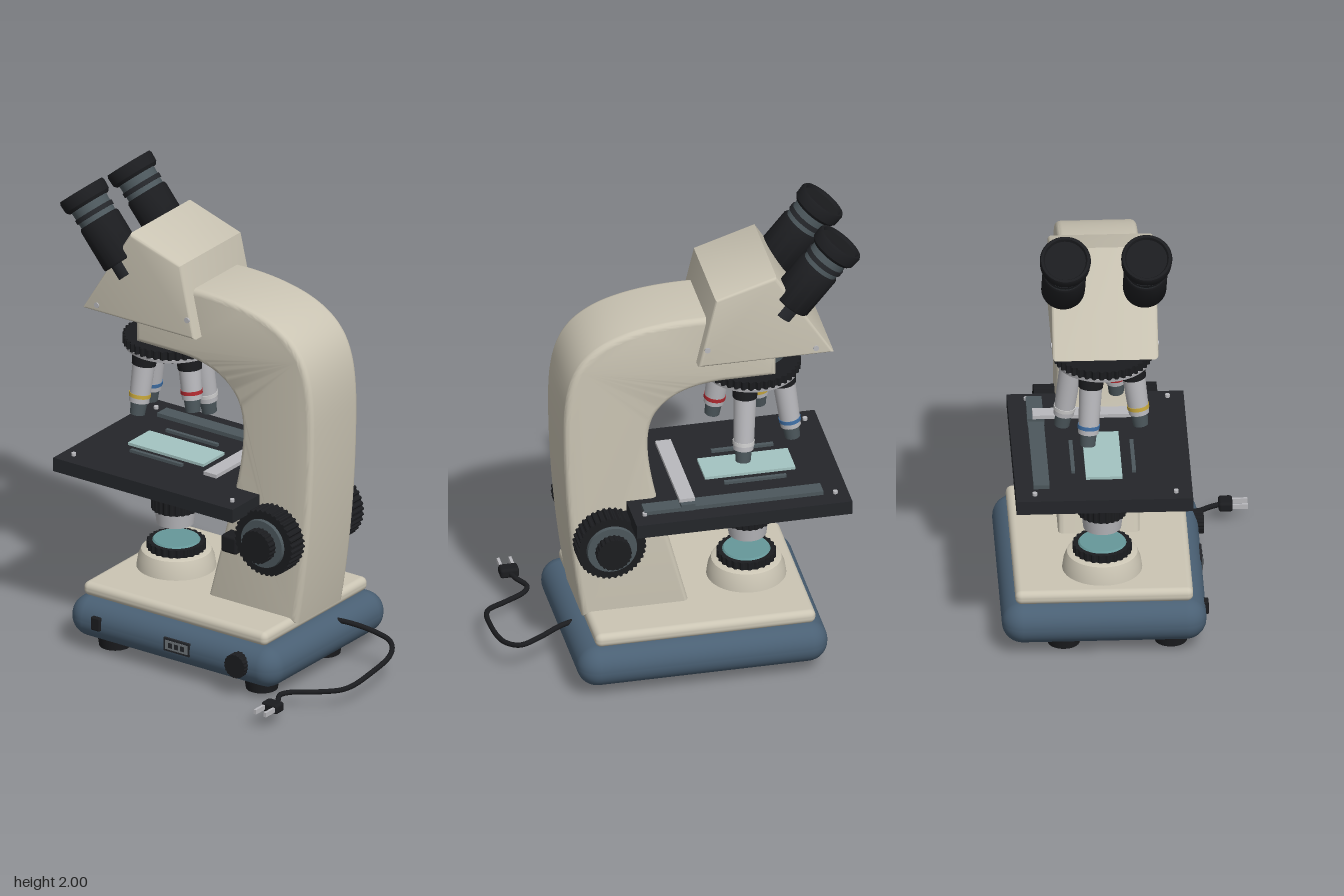
import * as THREE from 'three';
import { toCreasedNormals } from 'three/addons/utils/BufferGeometryUtils.js';
import { RoundedBoxGeometry } from 'three/addons/geometries/RoundedBoxGeometry.js';

const CREAM = 0xcbc5b4, BLUE = 0x4a6074, BLACK = 0x1b1c1f, DARK = 0x24262a;
const SLATE = 0x4c575c, SILVER = 0xb9b9bd, GLASS = 0xa4c4c2, TEAL = 0x66989a;

const materials = {};
const mat = (color) => (materials[color] ??= new THREE.MeshStandardMaterial({ color }));

function add(parent, name, geo, color, x = 0, y = 0, z = 0) {
  const mesh = new THREE.Mesh(geo, mat(color));
  mesh.name = name;
  mesh.position.set(x, y, z);
  parent.add(mesh);
  return mesh;
}

const box = (w, h, d) => new THREE.BoxGeometry(w, h, d);
const rbox = (w, h, d, r) => new RoundedBoxGeometry(w, h, d, 5, r);
const cyl = (rTop, rBottom, h) => new THREE.CylinderGeometry(rTop, rBottom, h, 40);
const lathe = (pts) =>
  toCreasedNormals(new THREE.LatheGeometry(pts.map((p) => new THREE.Vector2(...p)), 40), 0.6);

// Cylinder with grip ribs around its side
function knurled(r, h, ribs) {
  const n = ribs * 4;
  const geo = new THREE.CylinderGeometry(r, r, h, n);
  const p = geo.attributes.position;
  for (let i = 0; i < p.count; i++) {
    const step = (Math.round((Math.atan2(p.getX(i), p.getZ(i)) / (2 * Math.PI)) * n) + n) % n;
    if (step % 4 < 2) p.setXYZ(i, p.getX(i) * 0.95, p.getY(i), p.getZ(i) * 0.95);
  }
  return toCreasedNormals(geo, 0.3);
}

// Side profile extruded across z with rounded edges, centred on z = 0
function slab(shape, width, bevel) {
  const geo = new THREE.ExtrudeGeometry(shape, {
    depth: width - 2 * bevel, bevelThickness: bevel, bevelSize: bevel,
    bevelOffset: -bevel, bevelSegments: 5, curveSegments: 20,
  });
  geo.translate(0, 0, bevel - width / 2);
  return toCreasedNormals(geo, 0.5);
}

function buildBase(body) {
  add(body, 'base', rbox(1.05, 0.178, 0.84, 0.086), BLUE, -0.05, 0.138, 0);
  add(body, 'basePlate', box(0.9, 0.01, 0.69), 0x2a323d, -0.05, 0.05, 0);
  add(body, 'deck', rbox(0.925, 0.06, 0.73, 0.026), CREAM, -0.0625, 0.256, 0);
  for (const x of [-0.42, 0.32])
    for (const z of [0.277, -0.163])
      add(body, 'foot', cyl(0.075, 0.066, 0.06), BLACK, x, 0.03, z);

  // Front panel controls
  add(body, 'switch', rbox(0.045, 0.058, 0.03, 0.006), BLACK, -0.412, 0.146, 0.417);
  add(body, 'displayFrame', box(0.13, 0.058, 0.02), DARK, -0.007, 0.146, 0.413);
  add(body, 'display', box(0.112, 0.04, 0.02), 0x70767a, -0.007, 0.146, 0.415);
  for (const dx of [-0.03, 0, 0.03])
    add(body, 'displaySegment', box(0.018, 0.022, 0.006), DARK, dx - 0.007, 0.146, 0.424);
  add(body, 'dimmer', knurled(0.052, 0.05, 20), BLACK, 0.3, 0.146, 0.418).rotation.x = Math.PI / 2;

  // Lamp on the deck
  add(body, 'lampHousing', lathe([[0.165, 0], [0.158, 0.045], [0.145, 0.078], [0.135, 0.083], [0, 0.083]]),
    CREAM, -0.31, 0.283, 0);
  add(body, 'lampRing', knurled(0.122, 0.036, 24), BLACK, -0.31, 0.382, 0);
  add(body, 'lampGlass', cyl(0.094, 0.1, 0.008), TEAL, -0.31, 0.403, 0);
}

function buildArmAndHead(body) {
  const arm = new THREE.Shape();
  arm.moveTo(-0.038, 0.26);
  arm.lineTo(0.08, 0.72);
  arm.bezierCurveTo(0.14, 0.95, 0.16, 1.12, 0.1, 1.205);
  arm.bezierCurveTo(0.04, 1.29, -0.06, 1.32, -0.2, 1.32);
  arm.lineTo(-0.4, 1.32);
  arm.lineTo(-0.4, 1.45);
  arm.lineTo(-0.17, 1.628);
  arm.bezierCurveTo(0, 1.64, 0.2, 1.625, 0.32, 1.56);
  arm.bezierCurveTo(0.45, 1.49, 0.49, 1.38, 0.49, 1.15);
  arm.bezierCurveTo(0.49, 0.85, 0.46, 0.52, 0.412, 0.26);
  add(body, 'arm', slab(arm, 0.335, 0.025), CREAM);

  const head = new THREE.Shape([[-0.632, 1.433], [-0.39, 1.828], [-0.135, 1.747], [-0.063, 1.433]]
    .map((p) => new THREE.Vector2(...p)));
  add(body, 'head', slab(head, 0.435, 0.016), CREAM);
  for (const [x, y] of [[-0.555, 1.465], [-0.1, 1.515]])
    for (const s of [-1, 1])
      add(body, 'headScrew', cyl(0.012, 0.012, 0.01), SILVER, x, y, s * 0.217).rotation.x = Math.PI / 2;

  // Pair of eyepieces, built upright and tilted toward the viewer
  for (const s of [-1, 1]) {
    const eye = new THREE.Group();
    eye.name = 'eyepiece';
    eye.position.set(-0.456, 1.672, s * 0.167);
    eye.rotation.z = 0.69;
    add(eye, 'eyepieceStub', cyl(0.06, 0.06, 0.08), DARK, 0, -0.02, 0);
    add(eye, 'eyepieceTube', lathe([[0, 0], [0.086, 0], [0.09, 0.006], [0.09, 0.19], [0.084, 0.2], [0, 0.2]]), BLACK);
    add(eye, 'eyepieceBarrel', cyl(0.083, 0.08, 0.1), SLATE, 0, 0.24, 0);
    add(eye, 'eyepieceBand', cyl(0.087, 0.087, 0.02), DARK, 0, 0.232, 0);
    add(eye, 'eyecup', lathe([[0, 0.275], [0.092, 0.275], [0.103, 0.288], [0.105, 0.328],
      [0.1, 0.338], [0.09, 0.338], [0.084, 0.326], [0, 0.324]]), BLACK);
    body.add(eye);
  }
}

function buildTurret(body) {
  const turret = new THREE.Group();
  turret.name = 'turret';
  turret.position.set(-0.33, 0, 0);
  body.add(turret);
  add(turret, 'turretNeck', cyl(0.145, 0.145, 0.09), SLATE, 0, 1.4, 0);
  add(turret, 'turretDisc', knurled(0.205, 0.036, 40), BLACK, 0, 1.302, 0);
  add(turret, 'turretTrim', cyl(0.198, 0.195, 0.016), SILVER, 0, 1.277, 0);
  add(turret, 'turretUnderside', cyl(0.19, 0.15, 0.022), BLACK, 0, 1.259, 0);

  // Four lenses, splayed outward a quarter turn apart: [ring color, length]
  const lenses = [[0xb02a30, 0.23], [0xc8a83c, 0.265], [0x3f6fa5, 0.305], [0xd8d8d8, 0.335]];
  lenses.forEach(([ring, len], i) => {
    const a = 0.4 + (i * Math.PI) / 2, tilt = 0.14;
    const lens = new THREE.Group();
    lens.name = 'objective';
    lens.position.set(0.13 * Math.cos(a), 1.265, 0.13 * Math.sin(a));
    lens.quaternion.setFromUnitVectors(new THREE.Vector3(0, -1, 0), new THREE.Vector3(
      Math.sin(tilt) * Math.cos(a), -Math.cos(tilt), Math.sin(tilt) * Math.sin(a)));
    const bodyLen = len - 0.1;
    add(lens, 'lensCollar', cyl(0.055, 0.05, 0.055), BLACK, 0, -0.025, 0);
    add(lens, 'lensBarrel', cyl(0.047, 0.042, bodyLen), SILVER, 0, -0.05 - bodyLen / 2, 0);
    add(lens, 'lensRing', cyl(0.0455, 0.0455, 0.016), ring, 0, -0.02 - bodyLen, 0);
    add(lens, 'lensTip', cyl(0.035, 0.031, 0.055), SLATE, 0, -0.0275 - 0.05 - bodyLen, 0);
    turret.add(lens);
  });
}

function buildStage(body) {
  add(body, 'stage', box(0.905, 0.06, 0.725), DARK, -0.2225, 0.77, -0.005);
  add(body, 'stageRail', box(0.75, 0.018, 0.066), SLATE, -0.195, 0.808, -0.26);
  add(body, 'slideArm', box(0.065, 0.016, 0.465), SILVER, -0.003, 0.837, -0.04);
  add(body, 'slideArmBlock', box(0.06, 0.03, 0.07), SLATE, -0.003, 0.815, -0.26);
  add(body, 'slide', box(0.38, 0.012, 0.15), GLASS, -0.31, 0.806, 0);
  for (const s of [-1, 1])
    add(body, 'stageClip', box(0.26, 0.012, 0.016), SLATE, -0.32, 0.808, s * 0.125);
  for (const x of [-0.62, 0.18])
    for (const z of [-0.29, 0.29])
      add(body, 'stageScrew', cyl(0.01, 0.01, 0.016), SILVER, x, 0.804, z);

  // Condenser below the stage and its bracket
  add(body, 'condenserBracket', box(0.42, 0.045, 0.12), DARK, -0.1, 0.648, 0);
  add(body, 'condenserCup', lathe([[0, 0], [0.092, 0], [0.122, 0.044], [0.122, 0.054], [0.1, 0.054], [0.08, 0.03], [0, 0.03]]),
    BLACK, -0.32, 0.605, 0);
  add(body, 'condenserRing', knurled(0.1, 0.055, 24), BLACK, -0.315, 0.57, 0);
  add(body, 'condenserNeck', cyl(0.08, 0.08, 0.05), DARK, -0.315, 0.6, 0);
  add(body, 'condenserLens', cyl(0.086, 0.078, 0.068), SILVER, -0.315, 0.512, 0);
  add(body, 'condenserLever', cyl(0.006, 0.006, 0.15), SILVER, -0.165, 0.57, 0.02).rotation.z = Math.PI / 2;

  // Focus knobs on both sides of the arm
  for (const s of [-1, 1]) {
    const knob = new THREE.Group();
    knob.name = 'focusKnob';
    knob.position.set(0.31, 0.634, s * 0.16);
    knob.rotation.x = (s * Math.PI) / 2;
    add(knob, 'coarseKnob', knurled(0.145, 0.09, 36), BLACK, 0, 0.048, 0);
    add(knob, 'knobCollar', cyl(0.103, 0.106, 0.014), SLATE, 0, 0.1, 0);
    add(knob, 'fineKnob', knurled(0.073, 0.052, 22), BLACK, 0, 0.122, 0);
    body.add(knob);
  }
  add(body, 'lockKnob', rbox(0.078, 0.078, 0.075, 0.012), BLACK, 0.118, 0.568, 0.195);
}

function buildCord(group) {
  const path = new THREE.CatmullRomCurve3([
    [0.42, 0.2, -0.19], [0.49, 0.195, -0.21], [0.59, 0.17, -0.243], [0.665, 0.147, -0.247], [0.72, 0.128, -0.18],
    [0.742, 0.108, -0.01], [0.72, 0.085, 0.14], [0.63, 0.073, 0.21], [0.54, 0.07, 0.27],
    [0.518, 0.07, 0.315], [0.55, 0.072, 0.38], [0.567, 0.074, 0.425],
  ].map((p) => new THREE.Vector3(...p)));
  add(group, 'cord', new THREE.TubeGeometry(path, 90, 0.011, 10), BLACK);
  add(group, 'plug', rbox(0.08, 0.042, 0.058, 0.012), BLACK, 0.567, 0.075, 0.438);
  for (const s of [-1, 1])
    add(group, 'prong', box(0.012, 0.02, 0.07), SILVER, 0.567 + s * 0.025, 0.075, 0.494);
}

export function createModel() {
  const group = new THREE.Group();
  group.name = 'microscope';
  const body = new THREE.Group();
  body.name = 'microscopeBody';
  body.position.z = -0.107;
  group.add(body);
  buildBase(body);
  buildArmAndHead(body);
  buildTurret(body);
  buildStage(body);
  buildCord(group);
  return group;
}
